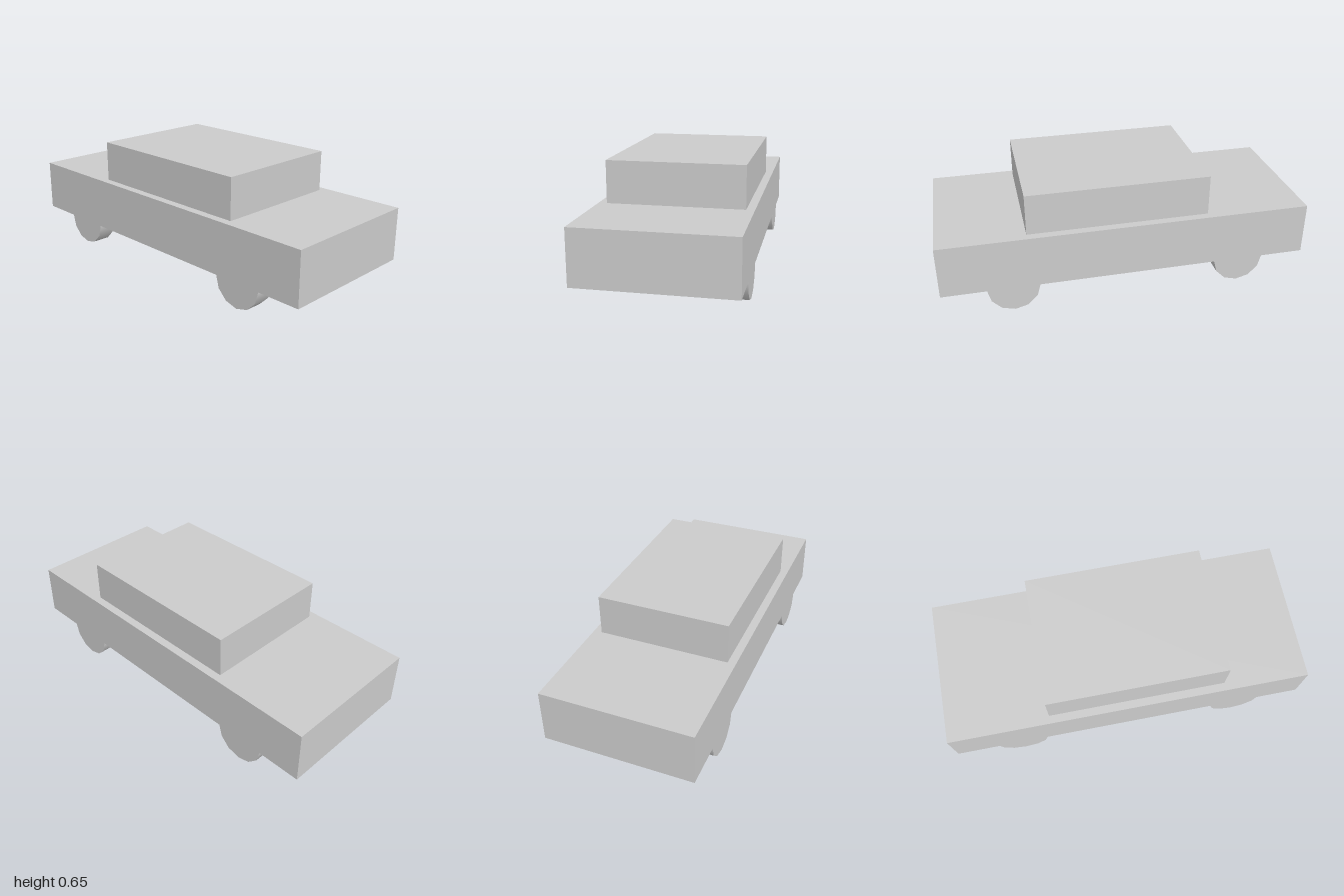
import * as THREE from 'three';

export function createModel() {
  const car = new THREE.Group();
  car.name = 'car';
  const material = new THREE.MeshStandardMaterial({ color: 0xcccccc });

  const add = (name, geometry, x, y, z) => {
    const mesh = new THREE.Mesh(geometry, material);
    mesh.name = name;
    mesh.position.set(x, y, z);
    car.add(mesh);
  };

  // Lower body slab and the cabin on top, set slightly forward
  add('body', new THREE.BoxGeometry(0.8, 0.287, 2), 0, 0.2805, 0);
  add('cabin', new THREE.BoxGeometry(0.712, 0.222, 0.977), 0, 0.535, 0.0465);

  // Four twelve-sided wheels, flush with the body sides and half sunk into it
  const radius = 0.14, width = 0.098;
  const wheel = new THREE.CylinderGeometry(radius, radius, width, 12).rotateZ(Math.PI / 2);
  for (const [side, sx] of [['Left', 1], ['Right', -1]]) {
    for (const [end, sz] of [['front', 1], ['back', -1]]) {
      add(`${end}${side}Wheel`, wheel, sx * (0.4 - width / 2), radius, sz * 0.622);
    }
  }
  return car;
}
